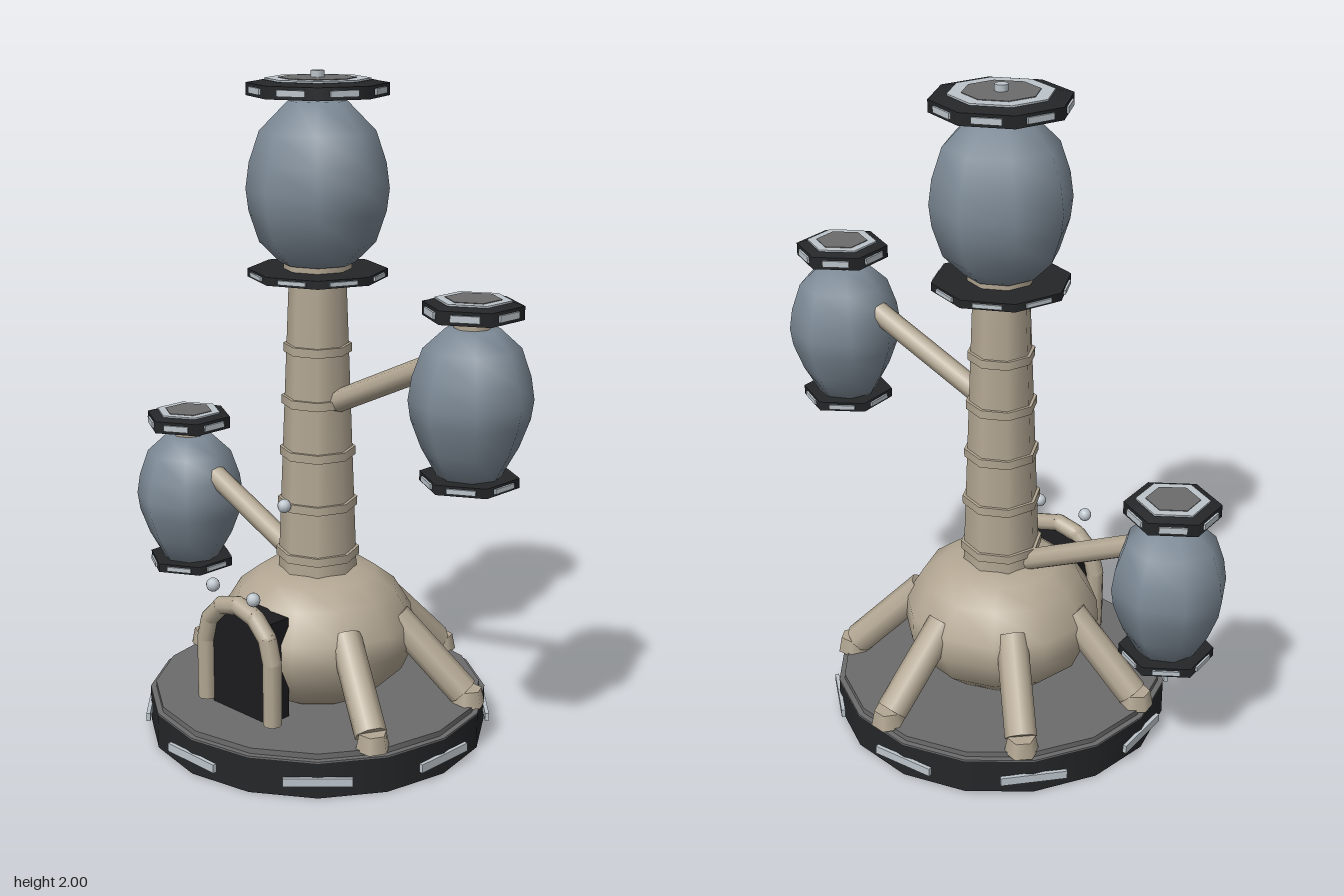
import * as THREE from 'three';

const mat = (color, side = THREE.FrontSide) => new THREE.MeshStandardMaterial({ color, side });

export function createModel() {
  const root = new THREE.Group();
  const beige = mat(0xb3a793), blue = mat(0x7c8995), dark = mat(0x242628);
  const silver = mat(0xbcc5cc), grey = mat(0x6c6c6c), black = mat(0x1c1c1e);

  const add = (parent, name, geo, material, x = 0, y = 0, z = 0) => {
    const m = new THREE.Mesh(geo, material);
    m.name = name;
    m.position.set(x, y, z);
    parent.add(m);
    return m;
  };
  // Upright prism from y0 to y1
  const drum = (parent, name, r0, r1, y0, y1, n, material) =>
    add(parent, name, new THREE.CylinderGeometry(r1, r0, y1 - y0, n), material, 0, (y0 + y1) / 2, 0);
  const lathe = (parent, name, pts, n, material) =>
    add(parent, name, new THREE.LatheGeometry(pts.map(p => new THREE.Vector2(...p)), n), material);
  // Round bar between two points
  const bar = (parent, name, a, b, r, n, material) => {
    const d = b.clone().sub(a);
    const m = add(parent, name, new THREE.CylinderGeometry(r, r, d.length(), n), material);
    m.position.copy(a).add(b).multiplyScalar(0.5);
    m.quaternion.setFromUnitVectors(new THREE.Vector3(0, 1, 0), d.normalize());
    return m;
  };
  // Light strips around a polygon rim
  const lights = (parent, count, dist, y, w, h, offset) => {
    for (let i = 0; i < count; i++) {
      const a = (i + offset) / count * Math.PI * 2;
      const m = add(parent, 'rimLight', new THREE.BoxGeometry(w, h, 0.012), silver,
        Math.sin(a) * dist, y, Math.cos(a) * dist);
      m.rotation.y = a;
    }
  };
  const rimDisc = (parent, name, r, y0, y1, n, w) => {
    drum(parent, name, r, r, y0, y1, n, dark);
    lights(parent, n, r * Math.cos(Math.PI / n), (y0 + y1) / 2, w, (y1 - y0) * 0.5, 0.5);
  };
  // Raised cap with a silver ring on a disc
  const cap = (parent, r, y, n) => {
    drum(parent, 'capStep', r * 0.98, r * 0.8, y, y + 0.008, n, dark);
    drum(parent, 'capRing', r * 0.76, r * 0.76, y, y + 0.013, n, silver);
    drum(parent, 'capCentre', r * 0.56, r * 0.56, y, y + 0.015, n, grey);
  };

  // Base platform
  const base = new THREE.Group();
  base.name = 'base';
  root.add(base);
  drum(base, 'platform', 0.52, 0.52, 0, 0.108, 16, dark);
  drum(base, 'platformLip', 0.52, 0.52, 0.108, 0.113, 16, grey);
  drum(base, 'deck', 0.503, 0.503, 0.11, 0.13, 16, grey);
  lights(base, 8, 0.52, 0.052, 0.2, 0.026, 0);

  // Dome and ringed column
  lathe(root, 'dome', [[0, 0.13], [0.19, 0.135], [0.265, 0.2], [0.305, 0.29], [0.3, 0.36],
    [0.245, 0.45], [0.18, 0.5], [0.11, 0.515], [0, 0.52]], 12, beige);
  drum(root, 'column', 0.12, 0.083, 0.48, 1.44, 8, beige);
  for (let i = 0; i < 5; i++) {
    const y = 0.563 + i * 0.1585, r = 0.126 - i * 0.0062;
    drum(root, 'columnRing', r, r, y - 0.013, y + 0.013, 8, beige);
  }

  // Legs spread around the sides and back
  for (let i = 0; i < 5; i++) {
    const a = THREE.MathUtils.degToRad(26 - i * 52.5);
    const at = (r, y) => new THREE.Vector3(Math.cos(a) * r, y, Math.sin(a) * r);
    bar(root, 'leg', at(0.25, 0.375), at(0.465, 0.16), 0.048, 8, beige);
    const foot = add(root, 'foot', new THREE.CylinderGeometry(0.042, 0.052, 0.05, 6), beige);
    foot.position.copy(at(0.48, 0.148));
    foot.rotation.y = -a;
  }

  // Door panel with an arched frame
  const door = new THREE.Group();
  door.name = 'door';
  root.add(door);
  const shape = new THREE.Shape();
  shape.moveTo(-0.12, 0.13);
  shape.lineTo(0.12, 0.13);
  shape.absarc(0, 0.33, 0.12, 0, Math.PI, false);
  shape.closePath();
  const panel = new THREE.ExtrudeGeometry(shape, { depth: 0.085, bevelEnabled: false, curveSegments: 6 });
  add(door, 'doorPanel', panel, black, 0, 0, 0.24);
  add(door, 'doorRecess', new THREE.BoxGeometry(0.23, 0.24, 0.07), black, 0, 0.32, 0.272);
  const frame = [[-0.143, 0.14], [-0.143, 0.33]];
  for (let i = 1; i <= 6; i++) {
    const a = Math.PI * (1 - i / 6);
    frame.push([Math.cos(a) * 0.143, 0.33 + Math.sin(a) * 0.143]);
  }
  frame.push([0.143, 0.14]);
  for (let i = 1; i < frame.length; i++) {
    const [a, b] = [frame[i - 1], frame[i]].map(p => new THREE.Vector3(p[0], p[1], 0.33));
    bar(door, 'doorFrame', a, b, 0.028, 8, beige);
    if (i > 1) add(door, 'frameJoint', new THREE.SphereGeometry(0.028, 8, 6), beige, a.x, a.y, a.z);
  }

  // Lamps
  for (const [x, y, z] of [[-0.087, 0.52, 0.35], [0.087, 0.52, 0.35], [0, 0.735, 0.14]])
    add(root, 'lamp', new THREE.SphereGeometry(0.021, 10, 8), silver, x, y, z);

  // Main pod on top of the column
  const top = new THREE.Group();
  top.name = 'topPod';
  root.add(top);
  drum(top, 'collar', 0.1, 0.1, 1.425, 1.46, 8, beige);
  rimDisc(top, 'lowerDisc', 0.205, 1.408, 1.432, 8, 0.085);
  lathe(top, 'topPodShell', [[0, 1.44], [0.11, 1.45], [0.17, 1.51], [0.2, 1.6], [0.208, 1.665],
    [0.198, 1.74], [0.168, 1.83], [0.085, 1.915], [0, 1.925]], 8, blue);
  drum(top, 'neck', 0.06, 0.06, 1.9, 1.935, 8, beige);
  rimDisc(top, 'upperDisc', 0.205, 1.93, 1.966, 8, 0.085);
  cap(top, 0.2, 1.966, 8);
  drum(top, 'finial', 0.02, 0.02, 1.97, 2, 8, silver);

  // Side pods on slanted arms
  for (const [side, y, armY] of [[-1, 0.605, 0.52], [1, 1.14, 1.045]]) {
    const pod = new THREE.Group();
    pod.name = side < 0 ? 'rightPod' : 'leftPod';
    pod.position.set(side * 0.59, y, 0);
    root.add(pod);
    lathe(pod, 'podShell', [[0, -0.22], [0.09, -0.21], [0.135, -0.13], [0.165, -0.05], [0.173, 0.005],
      [0.163, 0.07], [0.135, 0.15], [0.075, 0.205], [0, 0.21]], 8, blue);
    drum(pod, 'podNeck', 0.052, 0.052, 0.19, 0.24, 8, beige);
    rimDisc(pod, 'podUpperDisc', 0.14, 0.235, 0.273, 6, 0.08);
    cap(pod, 0.14, 0.273, 6);
    rimDisc(pod, 'podLowerDisc', 0.14, -0.235, -0.207, 6, 0.08);
    drum(pod, 'podTip', 0.032, 0.055, -0.26, -0.23, 6, beige);
    bar(root, 'arm', new THREE.Vector3(side * 0.08, armY, 0),
      new THREE.Vector3(side * 0.475, armY + 0.185, 0), 0.034, 8, beige);
  }
  return root;
}
